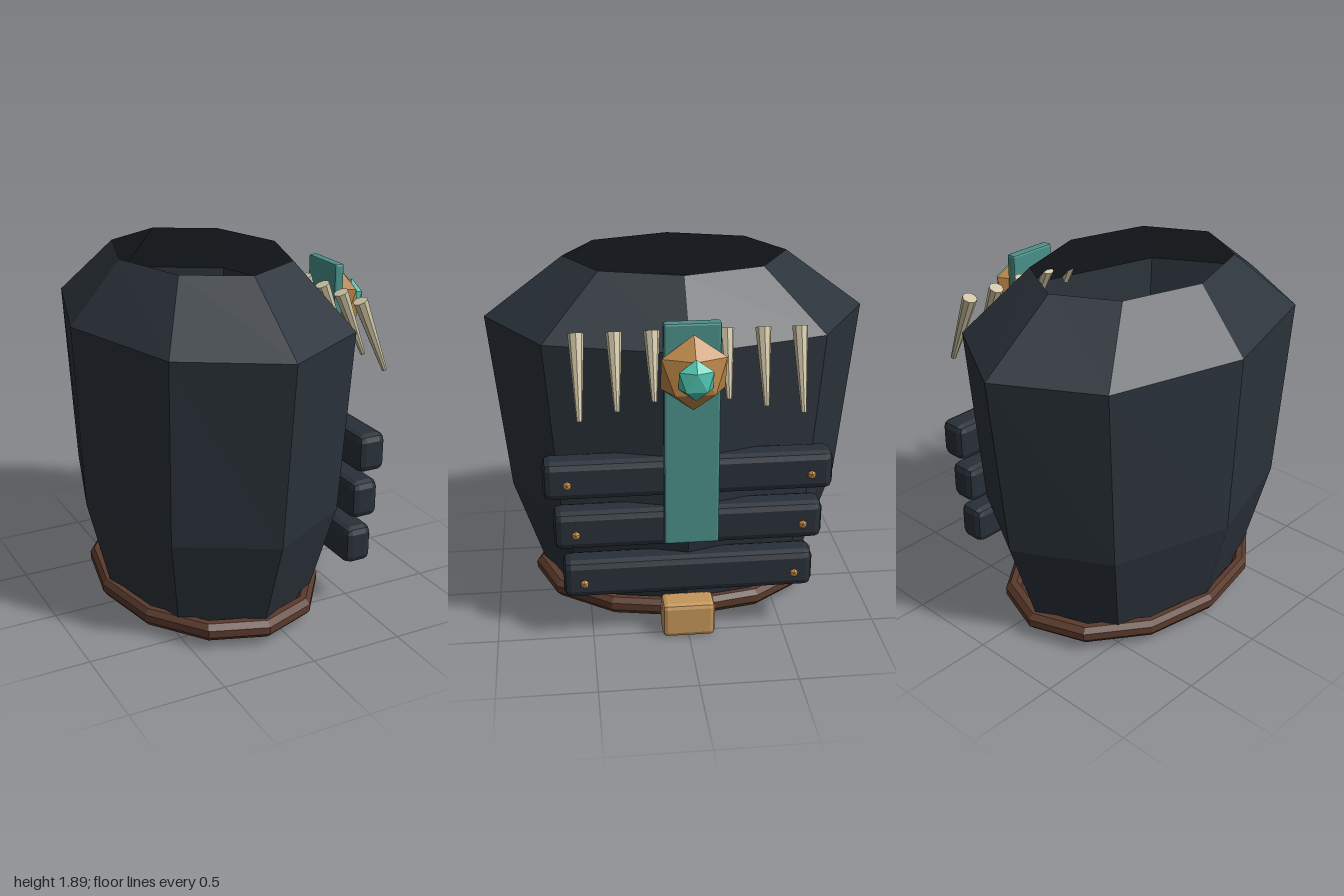
import * as THREE from 'three';
import { RoundedBoxGeometry } from 'three/addons/geometries/RoundedBoxGeometry.js';

const mat = (color) => new THREE.MeshStandardMaterial({ color, flatShading: true, side: THREE.DoubleSide });

export function createModel() {
  const group = new THREE.Group();
  const shellMat = mat(0x2b333b);
  const barMat = mat(0x283038);
  const leather = mat(0x5a3a2c);
  const gold = mat(0xc4965a);
  const bronze = mat(0xbd8748);
  const cloth = mat(0x4a8f88);
  const jewel = mat(0x4fc4b0);
  const bone = mat(0xcfc5a5);

  const add = (name, geometry, material, x = 0, y = 0, z = 0) => {
    const mesh = new THREE.Mesh(geometry, material);
    mesh.name = name;
    mesh.position.set(x, y, z);
    group.add(mesh);
    return mesh;
  };
  // box with chamfered edges
  const chamferBox = (w, h, d, c) => new RoundedBoxGeometry(w, h, d, 1, c);
  // icosahedron standing on a vertex
  const gem = (sx, sy, sz) => new THREE.IcosahedronGeometry(1, 0)
    .rotateZ(-Math.atan(2 / (1 + Math.sqrt(5)))).scale(sx, sy, sz);

  const axisX = -0.135;

  // open eight-sided torso shell
  const profile = [[0.71, 0.04], [0.9, 0.61], [1, 1.58], [0.585, 1.89]]
    .map(([r, y]) => new THREE.Vector2(r, y));
  const shell = new THREE.LatheGeometry(profile, 8);
  const shape = [0.74, 0.738, 0.705, 0.747];
  const pos = shell.attributes.position;
  for (let i = 0; i < pos.count; i++) pos.setX(i, pos.getX(i) * shape[i % 4]);
  add('torsoShell', shell, shellMat, axisX);

  // belt: octagonal section swept around twelve sides
  const section = [];
  for (let i = 0; i <= 8; i++) {
    const a = (i + 0.5) * Math.PI / 4;
    section.push(new THREE.Vector2(0.743 + 0.051 * Math.cos(a), 0.051 * Math.sin(a)));
  }
  add('belt', new THREE.LatheGeometry(section, 12).scale(0.745, 1, 1), leather, axisX, 0.096);
  add('buckle', chamferBox(0.15, 0.19, 0.275, 0.025), gold, 0.487, 0.095);

  // three horizontal plates with a rivet near each end
  for (const [y, half, rivetZ] of [[0.925, 0.73, 0.61], [0.648, 0.685, 0.575], [0.368, 0.645, 0.54]]) {
    add('plateBar', chamferBox(0.155, 0.205, half * 2, 0.038), barMat, 0.48, y);
    for (const s of [-1, 1]) add('rivet', gem(0.025, 0.025, 0.025), bronze, 0.588, y, s * rivetZ);
  }

  // hanging cloth strip with a jewelled brooch
  add('clothStrip', chamferBox(0.055, 1.155, 0.275, 0.012), cloth, 0.622, 1.183);
  add('broochMount', gem(0.106, 0.188, 0.182), bronze, 0.69, 1.53);
  add('broochJewel', gem(0.055, 0.102, 0.096), jewel, 0.79, 1.53);

  // necklace of teeth, longest at the ends
  const tilt = 0.405;
  for (let i = -3; i <= 3; i++) {
    const length = 0.3 + 0.04 * Math.abs(i);
    const tooth = new THREE.CylinderGeometry(0.039, 0.014, length, 8)
      .translate(0, -length / 2, 0).rotateZ(tilt);
    add('tooth', tooth, bone, 0.49, 1.678, i * 0.18);
  }
  return group;
}
